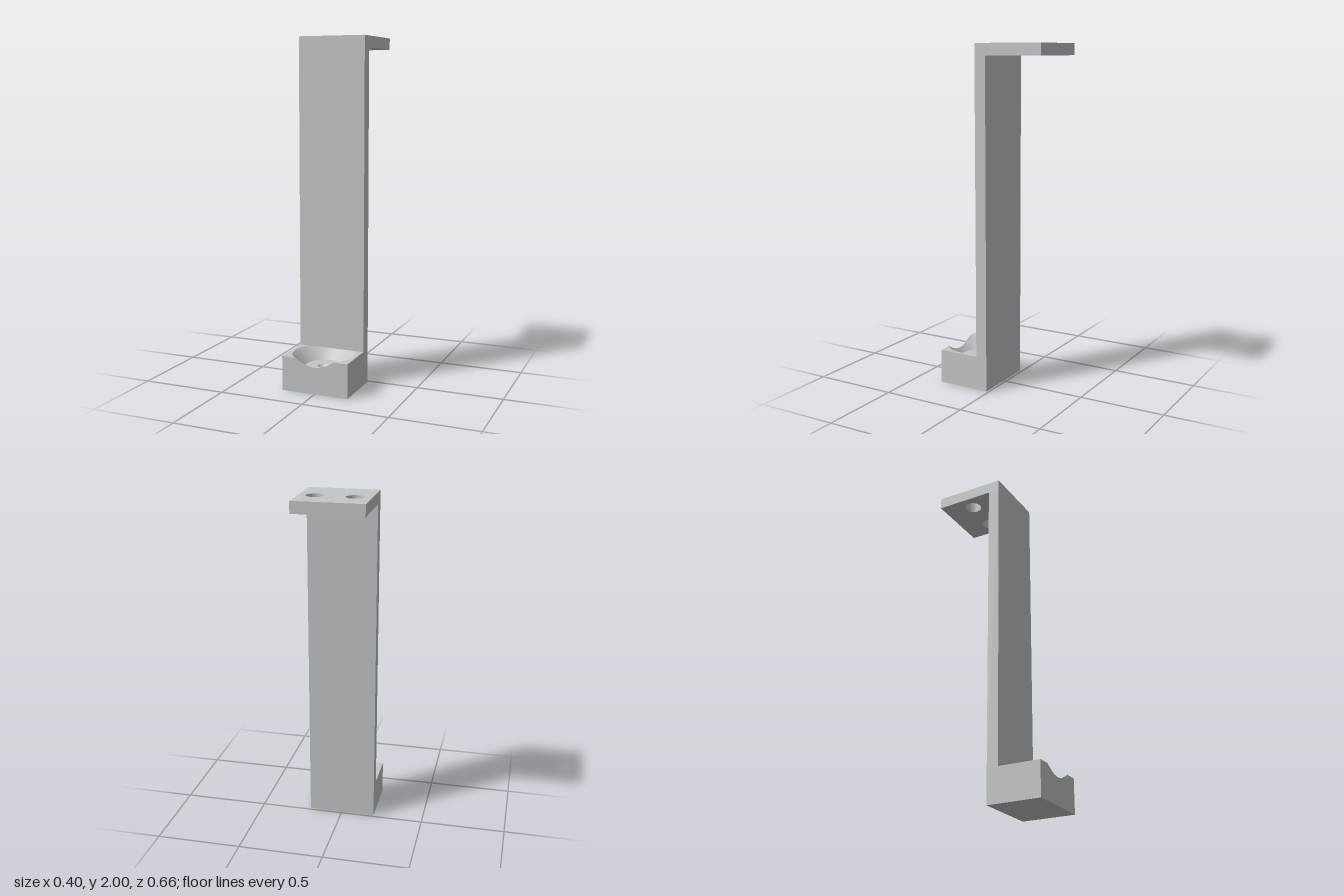
import * as THREE from 'three';
import { toCreasedNormals } from 'three/addons/utils/BufferGeometryUtils.js';

const HALF = 0.2;                                        // half width
const BACK = -0.331, FRONT = 0.331;                      // z extent
const WALL_BACK = 0.015, WALL_FRONT = 0.083;
const BASE_H = 0.2, PLATE_Y = 1.933;
const CZ = 0.195, R_TOP = 0.18, R_FLOOR = 0.108, FLOOR_Y = 0.128; // conical seat
const R_DIMPLE = 0.037;

const seatY = r => FLOOR_Y + (r - R_FLOOR) / (R_TOP - R_FLOOR) * (BASE_H - FLOOR_Y);

export function createModel() {
  const group = new THREE.Group();
  const grey = new THREE.MeshStandardMaterial({ color: 0xc6c6c6, side: THREE.DoubleSide });
  grey.name = 'plain grey';
  const add = (name, geo) => {
    const mesh = new THREE.Mesh(geo, grey);
    mesh.name = name;
    group.add(mesh);
    return mesh;
  };
  // flat face lying at height y, outline given in (x, -z)
  const level = (shape, y) => new THREE.ShapeGeometry(shape, 48).rotateX(-Math.PI / 2).translate(0, y, 0);

  // upright wall
  const wallDepth = WALL_FRONT - WALL_BACK;
  const wall = new THREE.BoxGeometry(2 * HALF, PLATE_Y - BASE_H, wallDepth);
  const wallIndex = Array.from(wall.index.array);
  wall.setIndex([...wallIndex.slice(0, 12), ...wallIndex.slice(24)]); // open ends
  add('wall', wall.translate(0, (PLATE_Y + BASE_H) / 2, (WALL_FRONT + WALL_BACK) / 2));

  // mounting plate with two bolt holes
  const plate = new THREE.Shape([
    new THREE.Vector2(-HALF, -WALL_FRONT), new THREE.Vector2(HALF, -WALL_FRONT),
    new THREE.Vector2(HALF, -BACK), new THREE.Vector2(-HALF, -BACK),
  ]);
  for (const s of [-1, 1]) {
    plate.holes.push(new THREE.Path().absarc(s * 0.108, 0.152, 0.05, 0, Math.PI * 2, true));
  }
  const plateGeo = new THREE.ExtrudeGeometry(plate, { depth: 2 - PLATE_Y, bevelEnabled: false, curveSegments: 48 });
  add('mountingPlate', toCreasedNormals(plateGeo.rotateX(-Math.PI / 2).translate(0, PLATE_Y, 0), 0.6));

  // base block: sides, underside and back only
  const base = new THREE.BoxGeometry(2 * HALF, BASE_H, FRONT - WALL_BACK);
  const idx = Array.from(base.index.array);
  base.setIndex([...idx.slice(0, 12), ...idx.slice(18, 24), ...idx.slice(30, 36)]);
  add('baseBlock', base.translate(0, BASE_H / 2, (FRONT + WALL_BACK) / 2));

  // angles round the seat; the arc between -cut and cut breaks through the front
  const d = FRONT - CZ, cut = Math.acos(d / R_TOP);
  const rim = [];
  for (let i = 0; i < 24; i++) {
    const a = -cut + 2 * cut * i / 24;
    rim.push([a, Math.min(R_TOP, d / Math.cos(a))]);
  }
  const notchCount = rim.length;
  for (let i = 0; i < 72; i++) rim.push([cut + (2 * Math.PI - 2 * cut) * i / 72, R_TOP]);

  // front face with the notch left by the seat
  const face = new THREE.Shape();
  face.moveTo(-HALF, 0);
  face.lineTo(HALF, 0);
  face.lineTo(HALF, BASE_H);
  for (let i = notchCount; i >= 0; i--) {
    const [a, r] = rim[i];
    face.lineTo(r * Math.sin(a), seatY(r));
  }
  face.lineTo(-HALF, BASE_H);
  add('baseFront', new THREE.ShapeGeometry(face).translate(0, 0, FRONT));

  // top strips either side of the seat
  const aFront = Math.asin(-d / R_TOP), aBack = Math.asin((CZ - WALL_FRONT) / R_TOP);
  for (const s of [1, -1]) {
    const strip = new THREE.Shape();
    strip.moveTo(s * HALF, -FRONT);
    strip.lineTo(s * HALF, -WALL_FRONT);
    for (let i = 0; i <= 32; i++) {
      const a = aBack + (aFront - aBack) * i / 32;
      strip.lineTo(s * R_TOP * Math.cos(a), -CZ + R_TOP * Math.sin(a));
    }
    add(s > 0 ? 'baseTopLeft' : 'baseTopRight', level(strip, BASE_H));
  }

  // underside of the wall above the seat
  const roof = new THREE.Shape();
  roof.absarc(0, -CZ, R_TOP, aBack, Math.PI - aBack, false);
  add('recessRoof', level(roof, BASE_H));

  // conical seat, trimmed by the front face
  const pos = [], index = [], n = rim.length;
  rim.forEach(([a, r], i) => {
    for (const q of [R_FLOOR, r]) pos.push(q * Math.sin(a), seatY(q), CZ + q * Math.cos(a));
    const j = (i + 1) % n;
    index.push(2 * i, 2 * i + 1, 2 * j + 1, 2 * i, 2 * j + 1, 2 * j);
  });
  const seat = new THREE.BufferGeometry();
  seat.setAttribute('position', new THREE.Float32BufferAttribute(pos, 3));
  seat.setIndex(index);
  seat.computeVertexNormals();
  add('conicalSeat', seat);

  // seat floor and pointed centre dimple
  add('seatFloor', new THREE.RingGeometry(R_DIMPLE, R_FLOOR, 72).rotateX(-Math.PI / 2).translate(0, FLOOR_Y, CZ));
  add('centreDimple', new THREE.CylinderGeometry(R_DIMPLE, 0, R_DIMPLE, 72, 1, true)
    .translate(0, FLOOR_Y - R_DIMPLE / 2, CZ));

  return group;
}
